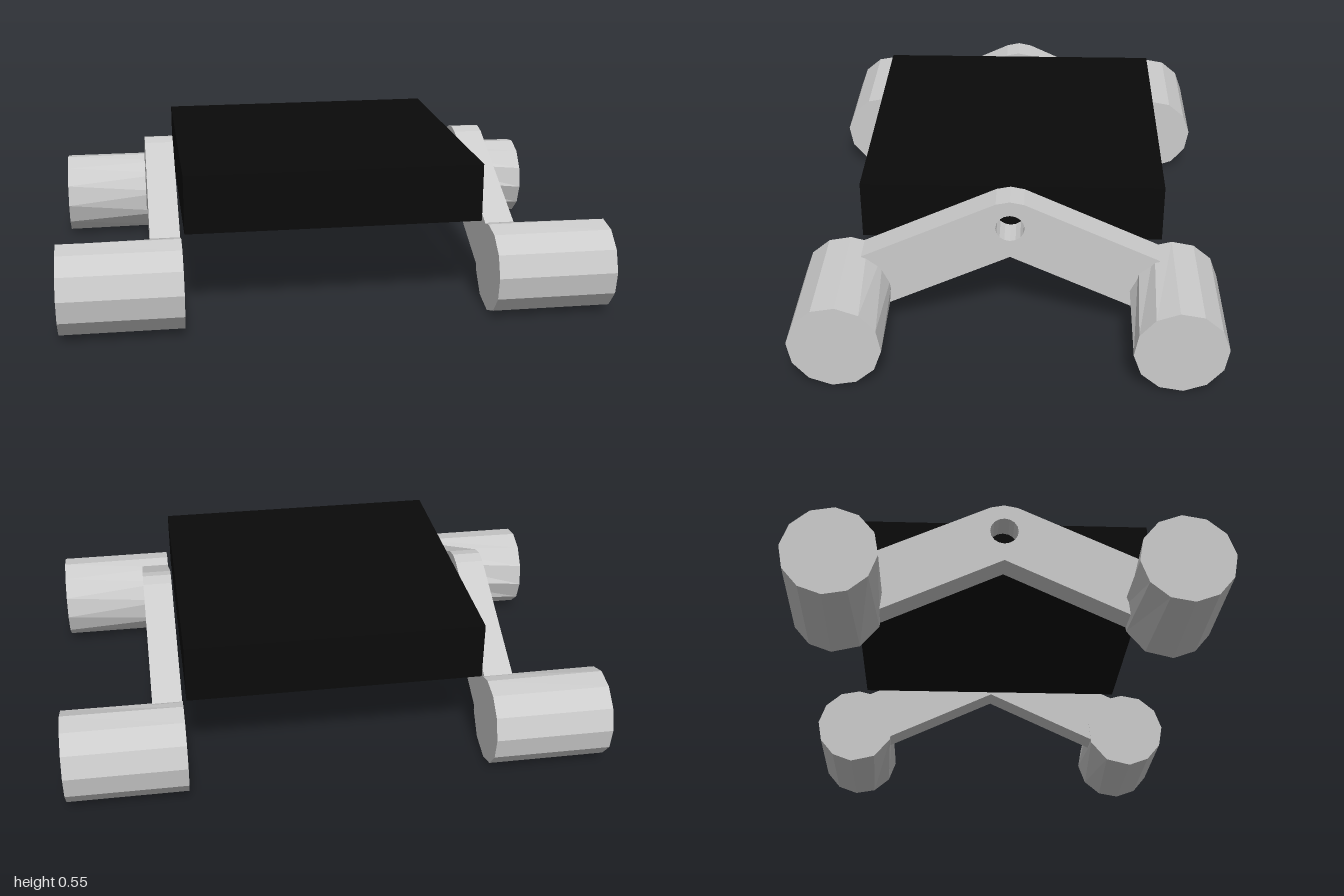
import * as THREE from 'three';

const grey = new THREE.MeshStandardMaterial({ color: 0xcccccc, flatShading: true });
const black = new THREE.MeshStandardMaterial({ color: 0x0a0a0a, flatShading: true });

const WHEEL_R = 0.164, WHEEL_Y = 0.164, WHEEL_Z = 0.595;
const INNER_X = 0.56, OUTER_X = 1.0;

// Twelve-sided roller; the inner rim turns slightly where it meets the arm.
function wheelGeometry(zSide) {
  const length = OUTER_X - INNER_X;
  const geo = new THREE.CylinderGeometry(WHEEL_R, WHEEL_R, length, 12);
  geo.rotateZ(-Math.PI / 2); // top cap now faces +x
  geo.rotateX(THREE.MathUtils.degToRad(-5 * zSide));
  const pos = geo.attributes.position;
  for (let i = 0; i < pos.count; i++) {
    if (pos.getX(i) > 0) continue;
    const y = pos.getY(i), z = pos.getZ(i);
    const inward = Math.max(0, -z * zSide / WHEEL_R);
    const turn = THREE.MathUtils.degToRad(16) * inward * zSide;
    pos.setY(i, y * Math.cos(turn) - z * Math.sin(turn));
    pos.setZ(i, y * Math.sin(turn) + z * Math.cos(turn));
  }
  geo.computeVertexNormals();
  return geo;
}

// Bent rocker arm with a pivot hole, drawn in (z, y) and extruded along x.
function armGeometry() {
  const half = [[0.05, 0.543], [0.535, 0.317], [0.5, 0.09]];
  const outline = [
    [0, 0.553], ...half, [0, 0.325],
    ...half.slice().reverse().map(([z, y]) => [-z, y]),
  ].map(([z, y]) => new THREE.Vector2(-z, y));
  const shape = new THREE.Shape(outline);
  const hole = new THREE.Path();
  hole.absarc(0, 0.445, 0.052, 0, Math.PI * 2, true);
  shape.holes.push(hole);
  const geo = new THREE.ExtrudeGeometry(shape, { depth: 0.108, bevelEnabled: false, curveSegments: 8 });
  geo.rotateY(Math.PI / 2); // extrusion runs along +x
  return geo;
}

export function createModel() {
  const model = new THREE.Group();
  model.name = 'rover';

  const add = (name, geo, material, x, y, z, parent = model) => {
    const mesh = new THREE.Mesh(geo, material);
    mesh.name = name;
    mesh.position.set(x, y, z);
    parent.add(mesh);
  };

  // Flat body slab
  add('body', new THREE.BoxGeometry(1.094, 0.217, 1.092), black, 0, 0.437, -0.004);

  // One rocker arm and two wheels per side; the right side is a half turn of the left
  for (const side of ['left', 'right']) {
    const suspension = new THREE.Group();
    suspension.name = side + 'Suspension';
    add(side + 'Arm', armGeometry(), grey, 0.562, 0, 0, suspension);
    for (const s of [1, -1]) {
      const end = (s > 0) === (side === 'left') ? 'Front' : 'Back';
      add(side + end + 'Wheel', wheelGeometry(s), grey,
        (INNER_X + OUTER_X) / 2, WHEEL_Y, s * WHEEL_Z, suspension);
    }
    if (side === 'right') suspension.rotation.y = Math.PI;
    model.add(suspension);
  }
  return model;
}
